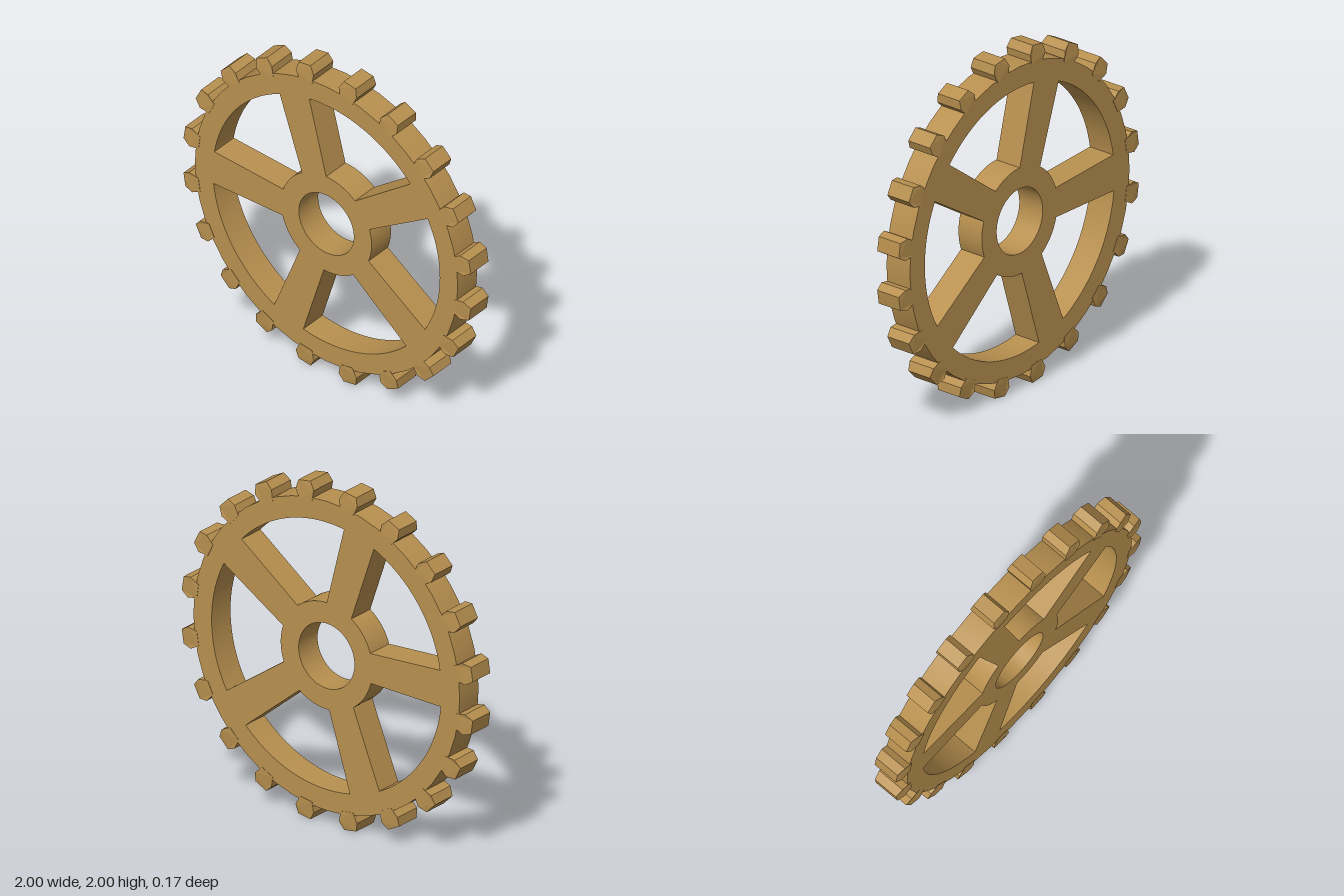
import * as THREE from 'three';
import { toCreasedNormals } from 'three/addons/utils/BufferGeometryUtils.js';

const SPOKES = 5, TEETH = 20;
const BORE = 0.192, HUB = 0.315, RIM_IN = 0.79, RIM_OUT = 0.915;
const WHEEL_DEPTH = 0.166, TOOTH_DEPTH = 0.17;
const SPOKE_START = THREE.MathUtils.degToRad(34.5);

// Extrude a flat shape, centred on z = 0
function slab(shape, depth, curveSegments = 32) {
  const g = new THREE.ExtrudeGeometry(shape, { depth, curveSegments, bevelEnabled: false });
  return g.translate(0, 0, -depth / 2);
}

// Hub, tapered spokes and rim: a disc with a bore and five windows
function wheelGeometry() {
  const disc = new THREE.Shape().absarc(0, 0, RIM_OUT, 0, Math.PI * 2, false);
  disc.holes.push(new THREE.Path().absarc(0, 0, BORE, 0, Math.PI * 2, true));
  const step = (Math.PI * 2) / SPOKES;
  const inner = Math.asin(0.088 / HUB);      // half a spoke at the hub
  const outer = Math.asin(0.107 / RIM_IN);   // half a spoke at the rim
  for (let i = 0; i < SPOKES; i++) {
    const a = SPOKE_START + i * step, b = a + step;
    const gap = new THREE.Path();
    gap.absarc(0, 0, RIM_IN, a + outer, b - outer, false);
    gap.absarc(0, 0, HUB, b - inner, a + inner, true);
    gap.closePath();
    disc.holes.push(gap);
  }
  return toCreasedNormals(slab(disc, WHEEL_DEPTH, 24), Math.PI / 6);
}

// One tooth pointing along +x: narrow root, wide shoulder, chamfered tip
function toothGeometry() {
  const half = [[0.895, 0.042], [0.955, 0.063], [1.006, 0.042]];
  const outline = [...half.map(([x, y]) => [x, -y]), ...half.slice().reverse()];
  const g = slab(new THREE.Shape(outline.map(([x, y]) => new THREE.Vector2(x, y))), TOOTH_DEPTH);
  const p = g.attributes.position;
  for (let i = 0; i < p.count; i++) {
    if (p.getX(i) > 1) p.setZ(i, p.getZ(i) * 0.9); // thinner tip
  }
  g.computeVertexNormals();
  return g;
}

export function createModel() {
  const bronze = new THREE.MeshStandardMaterial({ color: 0xb8904f });
  bronze.name = 'bronze';

  const model = new THREE.Group();
  model.name = 'cogwheel';

  const wheel = new THREE.Mesh(wheelGeometry(), bronze);
  wheel.name = 'spokedWheel';
  model.add(wheel);

  const teeth = new THREE.Group();
  teeth.name = 'teeth';
  const tooth = toothGeometry();
  for (let i = 0; i < TEETH; i++) {
    const m = new THREE.Mesh(tooth, bronze);
    m.name = 'tooth';
    m.rotation.z = ((i + 0.5) / TEETH) * Math.PI * 2;
    teeth.add(m);
  }
  model.add(teeth);

  // Stand the wheel on the ground
  wheel.position.y = 1;
  teeth.position.y = 1;
  return model;
}
